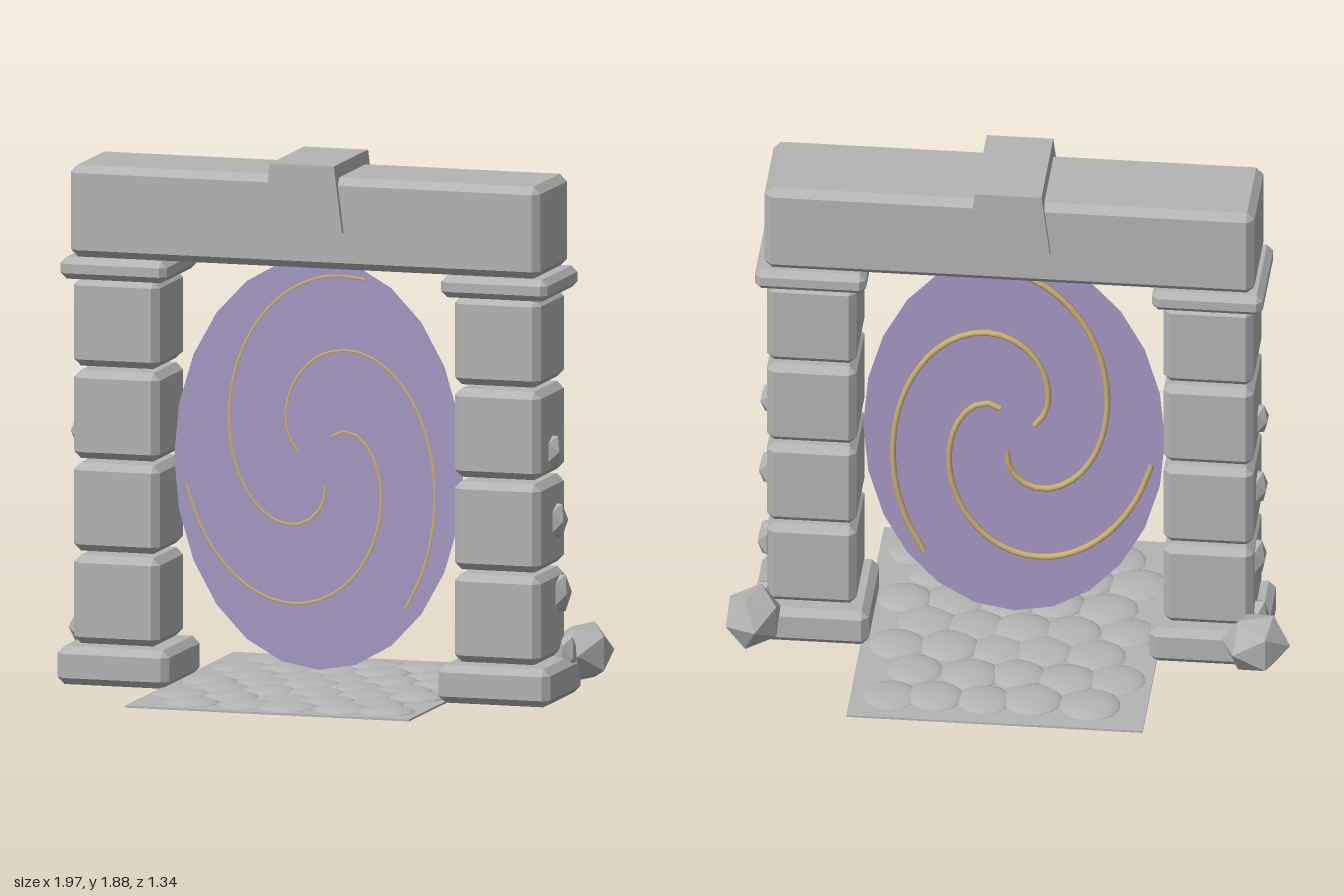
import * as THREE from 'three';
import { ConvexGeometry } from 'three/addons/geometries/ConvexGeometry.js';

const stone = new THREE.MeshStandardMaterial({ color: 0xb4b4b4 });
stone.name = 'stone grey';
const rockStone = new THREE.MeshStandardMaterial({ color: 0xb4b4b4, flatShading: true });
rockStone.name = 'rock grey';
const violet = new THREE.MeshStandardMaterial({ color: 0xa598c4, side: THREE.DoubleSide });
violet.name = 'portal violet';
const gold = new THREE.MeshStandardMaterial({ color: 0xcdb374 });
gold.name = 'spiral gold';

function add(parent, name, geometry, material, x = 0, y = 0, z = 0) {
  const mesh = new THREE.Mesh(geometry, material);
  mesh.name = name;
  mesh.position.set(x, y, z);
  parent.add(mesh);
  return mesh;
}

// Box with all edges and corners cut off by b
function chamferBox(w, h, d, b) {
  const points = [];
  for (const sx of [-1, 1]) for (const sy of [-1, 1]) for (const sz of [-1, 1]) {
    for (let k = 0; k < 3; k++) {
      points.push(new THREE.Vector3(
        sx * (w / 2 - (k === 0 ? 0 : b)),
        sy * (h / 2 - (k === 1 ? 0 : b)),
        sz * (d / 2 - (k === 2 ? 0 : b))));
    }
  }
  return new ConvexGeometry(points);
}

function seeded(seed) {
  return () => {
    seed = (seed * 16807) % 2147483647;
    return seed / 2147483647;
  };
}

// Rough faceted stone
function rock(parent, name, pos, size, turn) {
  const mesh = add(parent, name, new THREE.IcosahedronGeometry(1, 0), rockStone, ...pos);
  mesh.scale.set(...size);
  mesh.rotation.set(0, turn, 0);
  return mesh;
}

export function createModel() {
  const root = new THREE.Group();
  root.name = 'stonePortal';
  const gate = new THREE.Group();
  gate.name = 'gate';
  gate.position.set(0.004, 0, 0.025);
  gate.rotation.y = 0.07;
  root.add(gate);

  // Pillars: base, four blocks with open joints, cap
  for (const side of [-1, 1]) {
    const pillar = new THREE.Group();
    pillar.name = side > 0 ? 'leftPillar' : 'rightPillar';
    pillar.position.x = side * 0.697;
    gate.add(pillar);
    add(pillar, 'pillarBase', chamferBox(0.41, 0.135, 0.4, 0.025), stone, 0, 0.0725, 0);
    for (let i = 0; i < 4; i++) {
      add(pillar, 'pillarBlock', chamferBox(0.315, 0.312, 0.317, 0.025), stone, 0, 0.302 + i * 0.327, 0);
    }
    add(pillar, 'pillarCap', chamferBox(0.39, 0.077, 0.39, 0.022), stone, 0, 1.477, 0);

    // Stone chips set in the outer face
    const zs = side > 0 ? [0.0, -0.05, -0.09, -0.13] : [0.04, 0, -0.04, -0.08];
    const ys = [0.885, 0.632, 0.37, 0.14];
    for (let i = 0; i < 4; i++) {
      const r = 0.058 + i * 0.006;
      const x = side * (i === 3 ? 0.17 : 0.157);
      rock(pillar, 'stoneChip', [x, ys[i], zs[i]], [0.04, r * 1.08, r * 0.85], 0);
    }
  }

  // Lintel and keystone
  add(gate, 'lintel', chamferBox(1.72, 0.325, 0.36, 0.026), stone, 0, 1.678, 0);
  const wedge = new THREE.Shape([
    new THREE.Vector2(-0.147, 1.65), new THREE.Vector2(0.147, 1.65),
    new THREE.Vector2(0.117, 1.885), new THREE.Vector2(-0.117, 1.885)]);
  add(gate, 'keystone', new THREE.ExtrudeGeometry(wedge, { depth: 0.4, bevelEnabled: false }), stone, 0, 0, -0.2);

  // Oval portal sheet
  const portal = add(gate, 'portal', new THREE.CircleGeometry(1, 24), violet, 0, 0.8, 0);
  portal.scale.set(0.53, 0.73, 1);

  // Three spiral arms on the back of the portal
  for (let arm = 0; arm < 3; arm++) {
    const points = [];
    for (let i = 0; i <= 16; i++) {
      const t = i / 16;
      const a = THREE.MathUtils.degToRad(10 + arm * 120 + 220 * t);
      const r = 0.14 + 0.79 * Math.pow(t, 0.8);
      points.push(new THREE.Vector3(-0.53 * r * Math.cos(a), 0.82 + 0.73 * r * Math.sin(a), -0.008));
    }
    const path = new THREE.CatmullRomCurve3(points);
    add(gate, 'spiralArm', new THREE.TubeGeometry(path, 32, 0.011, 6), gold);
  }

  // Cobbled slab
  const path = new THREE.Group();
  path.name = 'cobbledPath';
  path.position.z = -0.028;
  gate.add(path);
  add(path, 'slab', new THREE.BoxGeometry(1.04, 0.007, 1.27), stone, 0, 0.0065, 0);
  const random = seeded(41);
  const dome = new THREE.SphereGeometry(1, 14, 5, 0, Math.PI * 2, 0, Math.PI / 2);
  for (let row = 0; row < 7; row++) {
    for (let col = 0; col < 5; col++) {
      const x = (col - 2) * 0.174 + (row % 2 ? -0.045 : 0.045) + (random() - 0.5) * 0.03;
      const z = (row - 3) * 0.163 + 0.012 + (random() - 0.5) * 0.03;
      const cobble = add(path, 'cobble', dome, stone, x, 0.006, z);
      const r = 0.1 + random() * 0.012;
      cobble.scale.set(r, 0.02 + random() * 0.006, r);
      cobble.rotation.y = random() * 3;
    }
  }

  // Loose rocks behind the pillars
  rock(root, 'looseRock', [-0.885, 0.14, -0.155], [0.125, 0.115, 0.115], 0.5);
  rock(root, 'looseRock', [0.875, 0.14, -0.285], [0.125, 0.115, 0.105], 1.3);
  return root;
}
